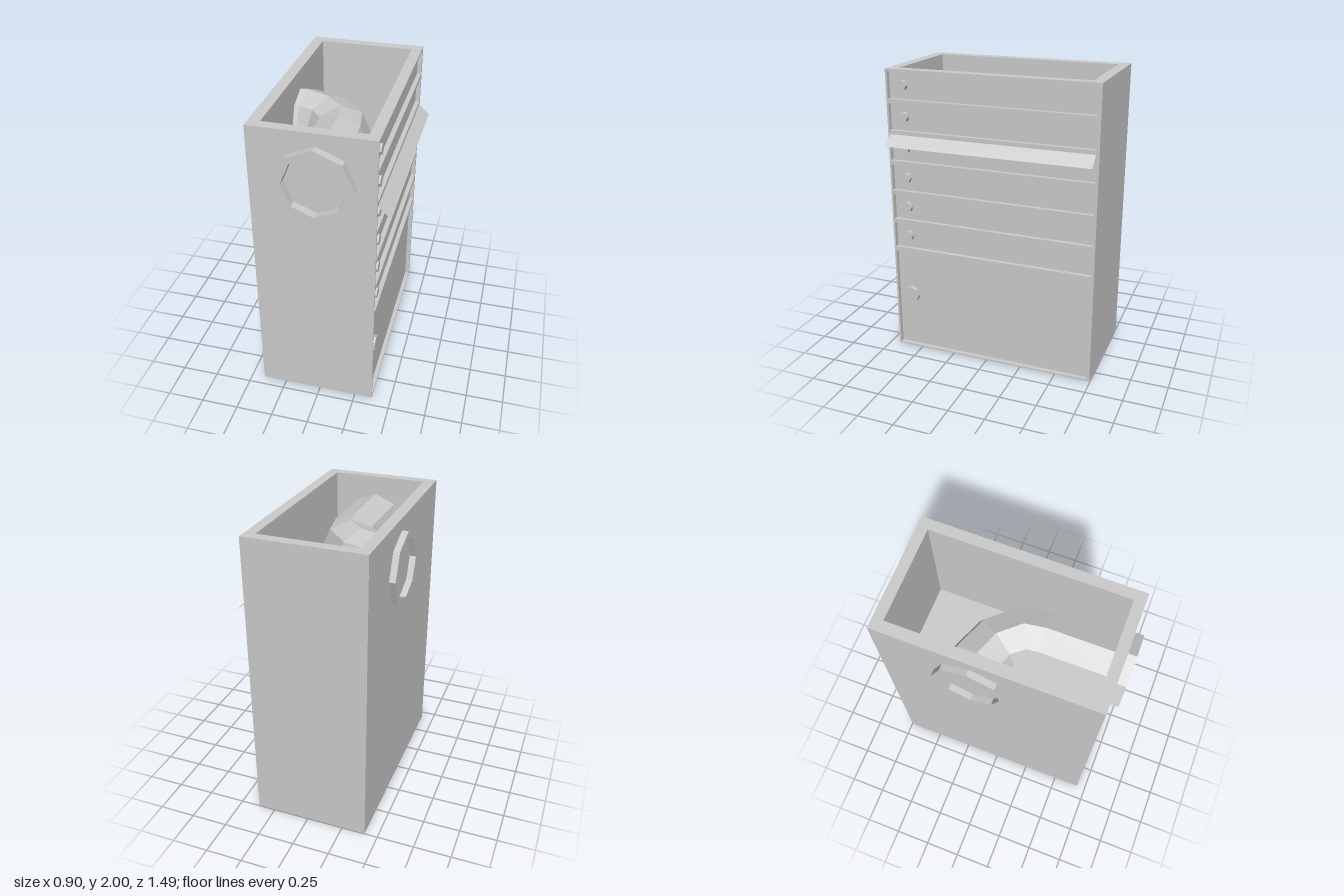
import * as THREE from 'three';

const grey = new THREE.MeshStandardMaterial({ color: 0xcccccc, flatShading: true });
const greyDouble = new THREE.MeshStandardMaterial({ color: 0xcccccc, flatShading: true, side: THREE.DoubleSide });

// Cabinet extents, and the x of the recessed drawer faces
const X0 = -0.41, X1 = 0.37, FACE = 0.34, Z0 = -0.745, Z1 = 0.685;
const FLOOR = 1.2, DUCT_Y = 1.677, KNOB_Z = 0.575;
const OPEN_Z0 = -0.725, OPEN_Z1 = 0.672;

function rect(shape, x0, y0, x1, y1) {
  shape.moveTo(x0, y0);
  shape.lineTo(x1, y0);
  shape.lineTo(x1, y1);
  shape.lineTo(x0, y1);
  shape.closePath();
  return shape;
}

function octagon(shape, r) {
  const pts = [];
  for (let i = 0; i < 8; i++) pts.push(new THREE.Vector2(r * Math.cos(i * Math.PI / 4), r * Math.sin(i * Math.PI / 4)));
  return shape.setFromPoints(pts);
}

const extrude = (shape, depth) => new THREE.ExtrudeGeometry(shape, { depth, bevelEnabled: false });

function add(parent, name, geometry, material = grey) {
  const mesh = new THREE.Mesh(geometry, material);
  mesh.name = name;
  parent.add(mesh);
  return mesh;
}

// Octagonal elbow: each station gives its outer and inner point in plan (x, z)
function elbowGeometry() {
  const stations = [
    [-0.335, -0.32, -0.335, 0.065],
    [-0.25, -0.32, -0.31, 0.065],
    [-0.02, -0.23, -0.235, 0.09],
    [0.165, -0.03, -0.19, 0.145],
    [0.205, 0.19, -0.187, 0.2],
    [0.205, 0.615, -0.187, 0.615],
  ];
  const pos = [], index = [];
  stations.forEach(([ox, oz, ix, iz], i) => {
    for (let j = 0; j < 8; j++) {
      const c = Math.cos(j * Math.PI / 4), s = Math.sin(j * Math.PI / 4);
      pos.push((ox + ix) / 2 + c * (ox - ix) / 2, DUCT_Y + 0.197 * s, (oz + iz) / 2 + c * (oz - iz) / 2);
      if (i === stations.length - 1) continue;
      const a = i * 8 + j, b = i * 8 + (j + 1) % 8;
      index.push(a, b, b + 8, a, b + 8, a + 8);
    }
  });
  const g = new THREE.BufferGeometry();
  g.setAttribute('position', new THREE.Float32BufferAttribute(pos, 3));
  g.setIndex(index);
  const flat = g.toNonIndexed();
  flat.computeVertexNormals();
  return flat;
}

export function createModel() {
  const model = new THREE.Group();
  model.name = 'cabinet';

  // Solid lower body and the open-topped walls above it
  const lower = add(model, 'lowerBody', new THREE.BoxGeometry(FACE - X0, FLOOR, Z1 - Z0));
  lower.position.set((X0 + FACE) / 2, FLOOR / 2, (Z0 + Z1) / 2);

  const wall = rect(new THREE.Shape(), X0, -Z1, FACE, -Z0);
  wall.holes.push(rect(new THREE.Path(), -0.335, -0.615, 0.30, 0.675));
  const walls = add(model, 'upperWalls', extrude(wall, 2 - FLOOR).rotateX(-Math.PI / 2));
  walls.position.y = FLOOR;

  // Frame around the drawers and the door, with one opening each
  const drawers = [1.895, 1.687, 1.48, 1.272, 1.065, 0.857];
  const frame = rect(new THREE.Shape(), -Z1, 0, -Z0, 2);
  for (const y of drawers) frame.holes.push(rect(new THREE.Path(), -OPEN_Z1, y - 0.09, -OPEN_Z0, y + 0.09));
  frame.holes.push(rect(new THREE.Path(), -OPEN_Z1, 0.012, -OPEN_Z0, 0.735));
  add(model, 'drawerFrame', extrude(frame, X1 - FACE).rotateY(Math.PI / 2)).position.x = FACE;

  // Octagonal knobs
  const knob = (name, y, r) => {
    const shape = octagon(new THREE.Shape(), r);
    add(model, name, extrude(shape, 0.028).rotateY(Math.PI / 2)).position.set(FACE, y, KNOB_Z);
  };
  for (const y of drawers) knob('drawerKnob', y, 0.035);
  knob('doorKnob', 0.405, 0.06);

  // Thin flap hanging out from the top of the third opening
  const flap = add(model, 'flap', new THREE.PlaneGeometry(OPEN_Z1 - OPEN_Z0 - 0.005, Math.hypot(0.075, 0.067)), greyDouble);
  flap.geometry.rotateX(-Math.atan2(0.075, 0.067)).rotateY(Math.PI / 2);
  flap.position.set(X1 + 0.0375, 1.5365, (OPEN_Z0 + OPEN_Z1) / 2);

  // Octagonal collars on the front and the left-hand wall of the elbow
  const collar = depth => {
    const shape = octagon(new THREE.Shape(), 0.243);
    shape.holes.push(octagon(new THREE.Path(), 0.2));
    return extrude(shape, depth);
  };
  add(model, 'frontCollar', collar(0.057)).position.set(0.008, DUCT_Y, Z1);
  add(model, 'sideCollar', collar(0.042).rotateY(-Math.PI / 2)).position.set(X0, DUCT_Y, -0.127);

  // Elbow duct inside the open top
  add(model, 'elbowDuct', elbowGeometry(), greyDouble);

  return model;
}
